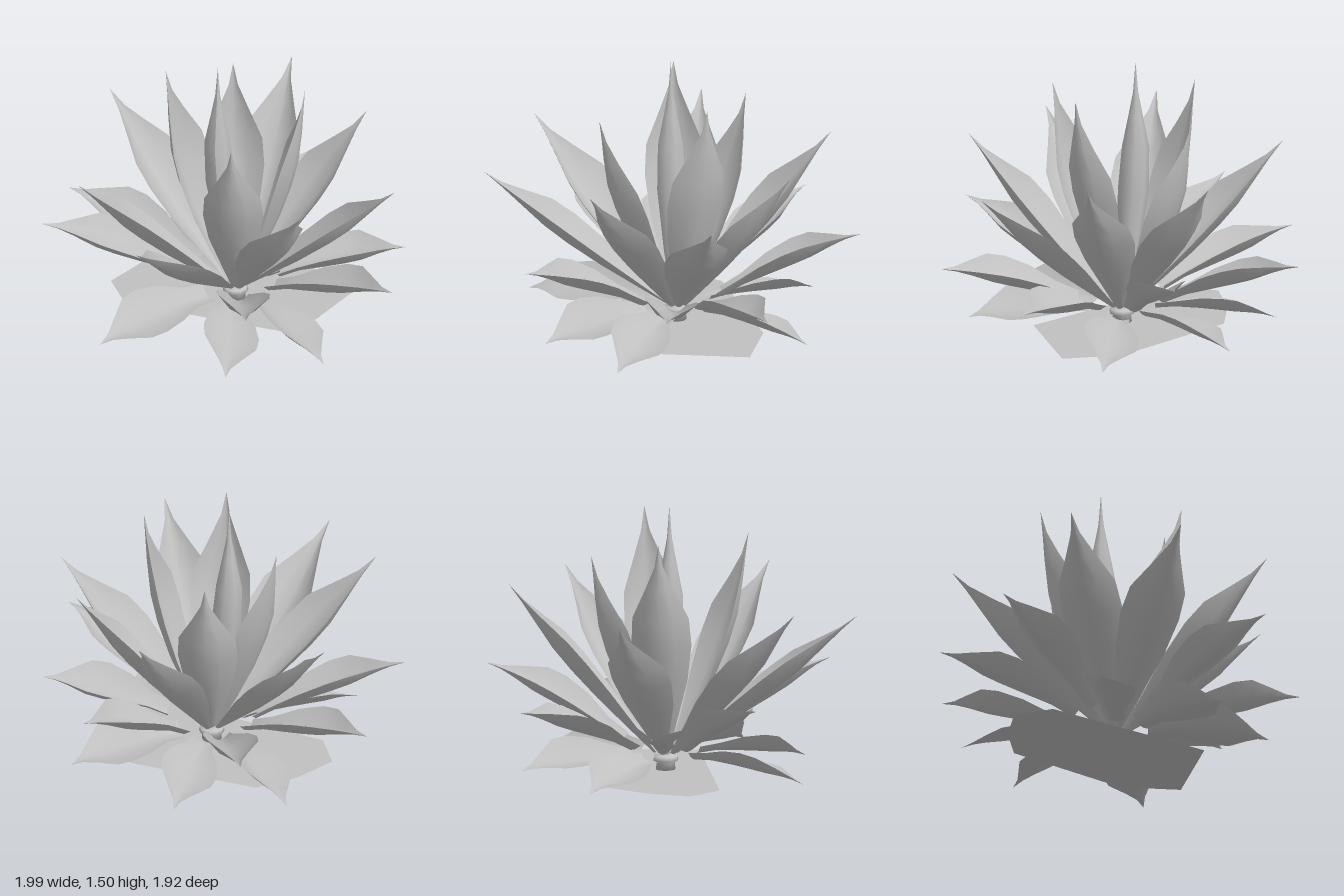
import * as THREE from 'three';

const leafGray = new THREE.MeshStandardMaterial({ color: 0xc0c0c0, side: THREE.DoubleSide });
leafGray.name = 'leafGray';

// Stem axis, slightly off the middle of the crown
const STEM_X = 0.02, STEM_Z = -0.04;

// Half-width of a leaf along its length, as a share of its widest point
const OUTLINE = [[0, 0.14], [0.15, 0.45], [0.33, 0.83], [0.5, 1], [0.63, 0.94], [0.78, 0.47], [0.89, 0.15], [1, 0]];
const ACROSS = [-1, -0.5, 0, 0.5, 1];

// A cupped, pointed leaf from its root to its tip; bow > 0 arches it upwards, roll twists it about its length
function makeLeaf([x, y, z], { halfWidth, bow, cup, roll, baseY, baseRadius, baseShare }) {
  const tip = new THREE.Vector3(x, y, z);
  const out = new THREE.Vector3(x - STEM_X, 0, z - STEM_Z).normalize();
  const side = new THREE.Vector3(out.z, 0, -out.x);
  const base = new THREE.Vector3(STEM_X, baseY, STEM_Z).addScaledVector(out, baseRadius);
  const chord = tip.clone().sub(base).normalize();
  const lift = chord.clone().cross(side).normalize();
  const control = base.clone().lerp(tip, 0.55).addScaledVector(lift, 2 * bow);
  const spine = new THREE.QuadraticBezierCurve3(base, control, tip);
  side.applyAxisAngle(chord, roll);

  const positions = [], index = [], n = ACROSS.length;
  OUTLINE.forEach(([t, share], i) => {
    const centre = spine.getPoint(t);
    const normal = spine.getTangent(t).cross(side).normalize();
    const w = halfWidth * (i === 0 ? baseShare : share);
    for (const u of ACROSS) {
      const p = centre.clone().addScaledVector(side, w * u)
        .addScaledVector(normal, w * cup * (u * u - 0.4));
      positions.push(p.x, Math.max(p.y, 0.005), p.z);
    }
    if (i === 0) return;
    for (let j = 0; j < n - 1; j++) {
      const a = (i - 1) * n + j, b = a + 1, c = a + n, d = c + 1;
      index.push(a, b, c, b, d, c);
    }
  });
  const geometry = new THREE.BufferGeometry();
  geometry.setAttribute('position', new THREE.Float32BufferAttribute(positions, 3));
  geometry.setIndex(index);
  geometry.computeVertexNormals();
  return geometry;
}

// Rings of leaves from the heart outwards; tips are x, y, z
const RINGS = [
  { name: 'innerLeaf', halfWidth: 0.165, bow: -0.055, cup: 0.55, roll: 0, baseY: 0.1, baseRadius: 0.04, baseShare: 0.14, tips: [
    [0.1, 1.29, 0.44], [0.4, 1.4, -0.08], [-0.4, 1.35, -0.17], [-0.09, 1.24, -0.48]] },
  { name: 'uprightLeaf', halfWidth: 0.17, bow: -0.01, cup: 0.6, roll: 0, baseY: 0.1, baseRadius: 0.06, baseShare: 0.14, tips: [
    [0.53, 1.04, 0.65], [0.66, 1.04, -0.47], [-0.78, 0.98, -0.47], [-0.74, 1.0, 0.52],
    [0.15, 1.05, -0.89], [0.94, 0.91, 0.09], [-0.32, 0.89, 0.96]] },
  { name: 'spreadingLeaf', halfWidth: 0.15, bow: 0.035, cup: 0.7, roll: -0.1, baseY: 0.16, baseRadius: 0.24, baseShare: 0.4, tips: [
    [-1.0, 0.53, 0.25], [-0.98, 0.39, -0.33], [0.99, 0.44, 0.37], [0.93, 0.33, -0.24],
    [0.29, 0.53, 0.94], [-0.46, 0.46, -0.96], [0.45, 0.55, -0.95]] },
  { name: 'groundLeaf', halfWidth: 0.16, bow: 0.04, cup: 0.4, roll: -0.35, baseY: 0.09, baseRadius: 0.18, baseShare: 0.4, tips: [
    [-0.04, 0.04, -0.86], [0.65, 0.02, -0.58], [0.64, 0.02, 0.53], [0.14, 0.02, 0.77],
    [-0.6, 0.02, 0.6], [-0.61, 0.02, -0.6]] },
];

export function createModel() {
  const plant = new THREE.Group();
  plant.name = 'rosettePlant';
  const add = (name, geometry) => {
    const mesh = new THREE.Mesh(geometry, leafGray);
    mesh.name = name;
    plant.add(mesh);
    return mesh;
  };

  for (const ring of RINGS) {
    ring.tips.forEach((tip, i) => add(`${ring.name}${i + 1}`, makeLeaf(tip, ring)));
  }

  // Furled bud in the heart, leaning slightly
  const budProfile = [[0.02, 0.08], [0.06, 0.4], [0.085, 0.75], [0.075, 1.0], [0.04, 1.18], [0.014, 1.32], [0, 1.5]]
    .map(([r, y]) => new THREE.Vector2(r, y));
  const bud = new THREE.LatheGeometry(budProfile, 8);
  const p = bud.attributes.position;
  for (let i = 0; i < p.count; i++) {
    const lean = Math.min(p.getY(i) / 0.9, 1);
    p.setX(i, p.getX(i) + STEM_X - 0.1 * lean);
    p.setZ(i, p.getZ(i) + STEM_Z);
  }
  bud.computeVertexNormals();
  add('bud', bud);

  // Short stem with a collar
  const stemProfile = [[0, 0.005], [0.055, 0.005], [0.05, 0.045], [0.07, 0.055], [0.065, 0.08], [0, 0.1]]
    .map(([r, y]) => new THREE.Vector2(r, y));
  add('stem', new THREE.LatheGeometry(stemProfile, 10)).position.set(STEM_X, 0, STEM_Z);

  // Flat withered leaves lying on the ground
  const outline = [[0.64, -0.24], [0.42, 0.24], [-0.56, 0.14], [-0.68, -0.05], [-0.55, -0.27], [-0.37, -0.44], [0.36, -0.42]]
    .map(([x, z]) => new THREE.Vector2(x, -z));
  const mat = add('flatGroundLeaf', new THREE.ShapeGeometry(new THREE.Shape(outline)));
  mat.rotation.x = -Math.PI / 2;

  return plant;
}
